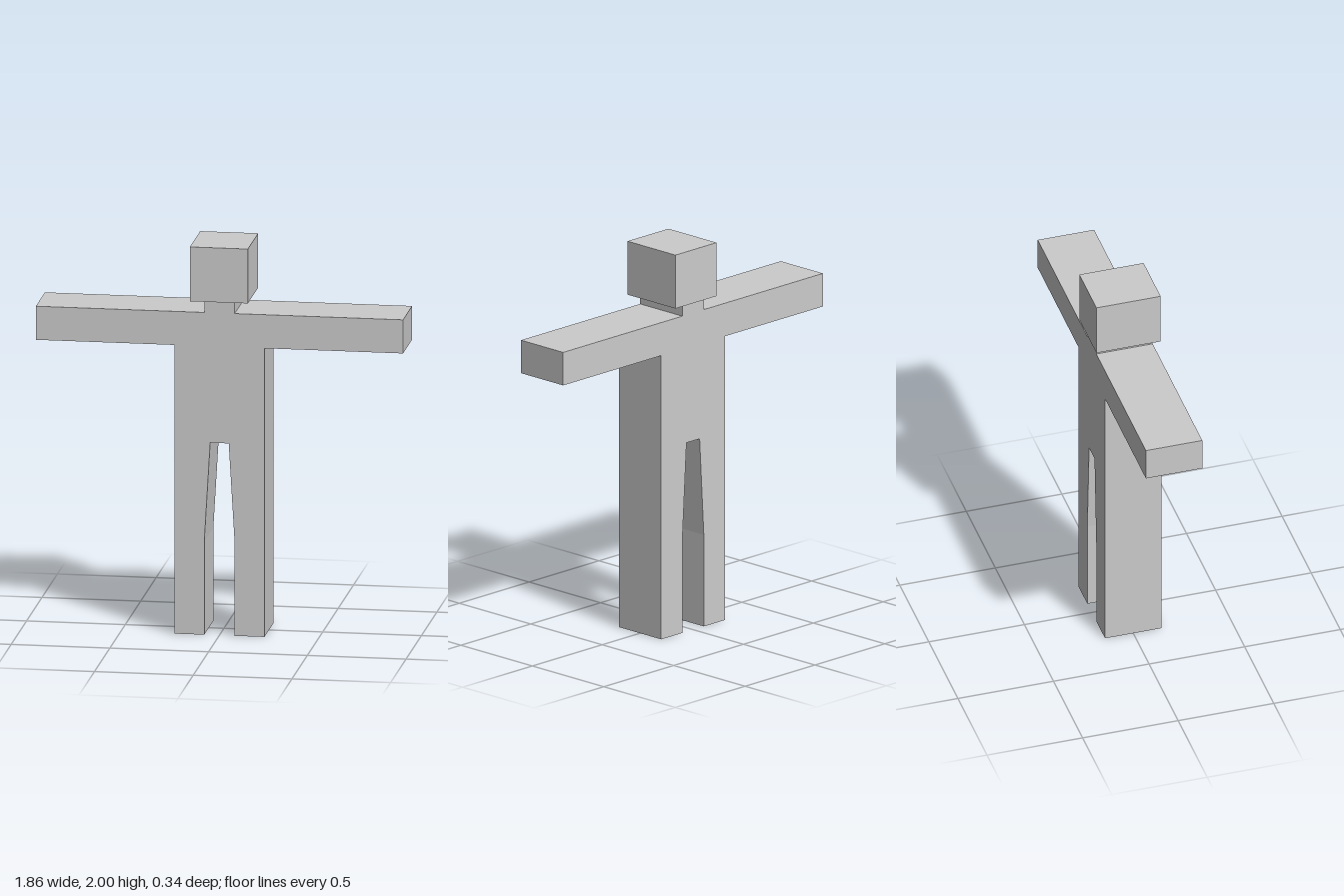
import * as THREE from 'three';

export function createModel() {
  const model = new THREE.Group();
  model.name = 'blockFigure';
  const material = new THREE.MeshStandardMaterial({ color: 0xcccccc, flatShading: true });

  // Half outline of the body, from the crotch around to the neck
  const half = [
    [0.047, 0.99], [0.077, 0.48], [0.077, 0],   // inner leg
    [0.228, 0], [0.228, 1.487],                 // outer leg and flank
    [0.93, 1.487], [0.93, 1.66],                // arm
    [0.077, 1.66], [0.077, 1.72],               // shoulder and neck
  ];
  const mirrored = half.map(([x, y]) => [-x, y]).reverse();
  const outline = new THREE.Shape([...half, ...mirrored].map(([x, y]) => new THREE.Vector2(x, y)));

  // Torso, arms, legs and neck share one flat slab
  const depth = 0.295;
  const bodyGeometry = new THREE.ExtrudeGeometry(outline, { depth, bevelEnabled: false });
  bodyGeometry.translate(0, 0, -depth / 2);
  const body = new THREE.Mesh(bodyGeometry, material);
  body.name = 'body';
  model.add(body);

  // Head, a little deeper than the body
  const head = new THREE.Mesh(new THREE.BoxGeometry(0.294, 0.28, 0.336), material);
  head.name = 'head';
  head.position.y = 1.86;
  model.add(head);

  return model;
}
